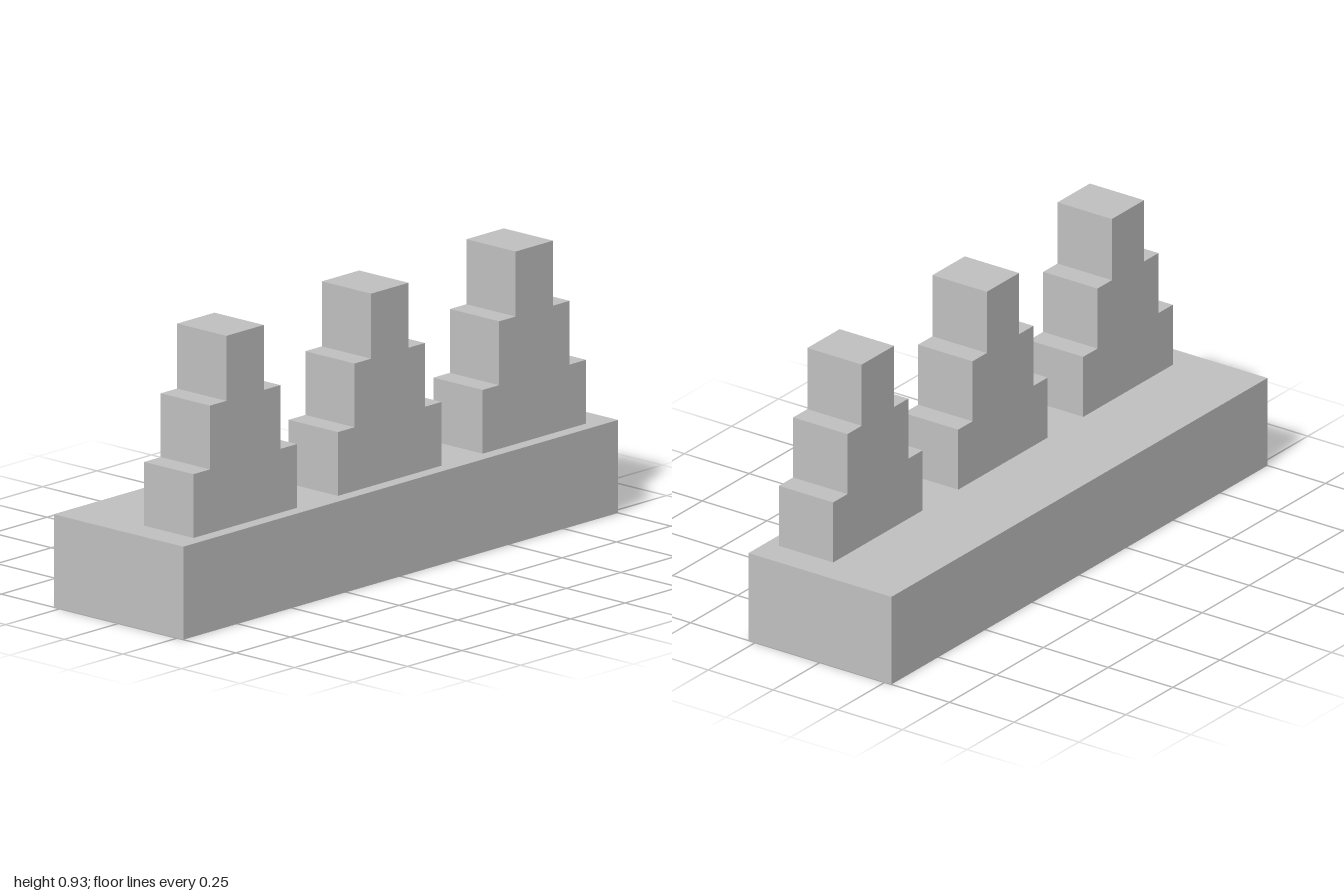
import * as THREE from 'three';

const stone = new THREE.MeshStandardMaterial({ color: 0xc0c0c0 });
stone.name = 'grey stone';

// Half width and top height of each step, measured from the wall top
const STEPS = [[0.238, 0.207], [0.162, 0.414], [0.086, 0.625]];
const WALL = { width: 2, height: 0.302, depth: 0.552 };
const MERLON = { spacing: 0.665, back: 0.021, depth: 0.21 };

// Symmetrical stepped outline, up the right side and down the left
function steppedShape() {
  const right = [];
  let y = 0;
  for (const [half, top] of STEPS) {
    right.push(new THREE.Vector2(half, y), new THREE.Vector2(half, top));
    y = top;
  }
  const left = right.map((p) => new THREE.Vector2(-p.x, p.y)).reverse();
  return new THREE.Shape([...right, ...left]);
}

export function createModel() {
  const model = new THREE.Group();
  model.name = 'steppedBattlement';

  // Wall block
  const wall = new THREE.Mesh(new THREE.BoxGeometry(WALL.width, WALL.height, WALL.depth), stone);
  wall.name = 'wall';
  wall.position.y = WALL.height / 2;
  model.add(wall);

  // Three stepped merlons set toward the front edge
  const geometry = new THREE.ExtrudeGeometry(steppedShape(), { depth: MERLON.depth, bevelEnabled: false });
  ['rightMerlon', 'middleMerlon', 'leftMerlon'].forEach((name, i) => {
    const merlon = new THREE.Mesh(geometry, stone);
    merlon.name = name;
    merlon.position.set((i - 1) * MERLON.spacing - 0.002, WALL.height, MERLON.back);
    model.add(merlon);
  });

  return model;
}
